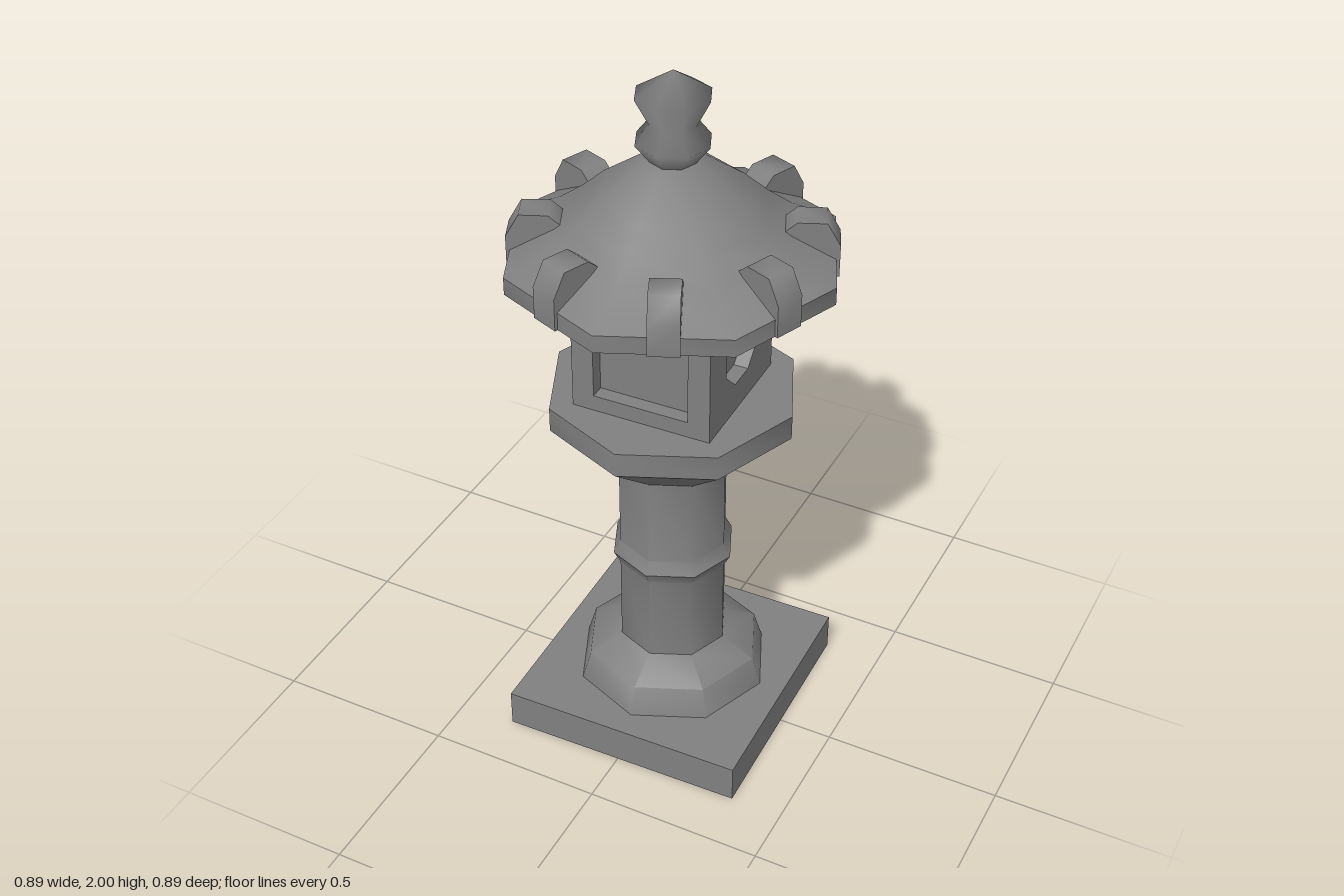
import * as THREE from 'three';
import { toCreasedNormals } from 'three/addons/utils/BufferGeometryUtils.js';

const stone = new THREE.MeshStandardMaterial({ color: 0x808080 });
const thinStone = new THREE.MeshStandardMaterial({ color: 0x808080, side: THREE.DoubleSide });

function addMesh(parent, name, geometry, material = stone) {
  const mesh = new THREE.Mesh(geometry, material);
  mesh.name = name;
  parent.add(mesh);
  return mesh;
}

// Eight-sided turned part from a [radius, height] profile, listed bottom to top
function turned(profile, crease = 0.8) {
  const points = profile.map(([r, y]) => new THREE.Vector2(r, y));
  return toCreasedNormals(new THREE.LatheGeometry(points, 8), crease);
}

// Wall panel centred on x, with a window opening cut through it
function wallPanel(width, bottom, top, opening, depth) {
  const w = width / 2;
  const shape = new THREE.Shape([
    new THREE.Vector2(-w, bottom), new THREE.Vector2(w, bottom),
    new THREE.Vector2(w, top), new THREE.Vector2(-w, top),
  ]);
  shape.holes.push(new THREE.Path(opening));
  return new THREE.ExtrudeGeometry(shape, { depth, bevelEnabled: false });
}

// Regular window outline with flat top and bottom
function windowOutline(sides, radius, y) {
  const points = [];
  for (let i = 0; i < sides; i++) {
    const a = ((i + 0.5) / sides) * Math.PI * 2;
    points.push(new THREE.Vector2(radius * Math.cos(a), y + radius * Math.sin(a)));
  }
  return points;
}

export function createModel() {
  const model = new THREE.Group();
  model.name = 'stoneLantern';
  const body = new THREE.Group();
  body.name = 'lanternBody';
  body.rotation.y = 0.021;
  model.add(body);

  // Square plinth, hollow underneath
  const plinth = new THREE.BoxGeometry(0.694, 0.11, 0.694);
  const index = Array.from(plinth.index.array);
  index.splice(18, 6);
  plinth.setIndex(index);
  plinth.clearGroups();
  addMesh(body, 'plinth', plinth, thinStone).position.y = 0.055;

  // Foot, set slightly into the plinth
  addMesh(body, 'foot', turned([
    [0, 0.104], [0.277, 0.104], [0.25, 0.195], [0.155, 0.245],
  ]));

  // Column with its ring, and flared platform
  addMesh(body, 'column', turned([
    [0.155, 0.24], [0.155, 0.51], [0.174, 0.547], [0.155, 0.585], [0.155, 0.86],
  ]));
  addMesh(body, 'platform', turned([
    [0, 0.85], [0.155, 0.85], [0.342, 1.01], [0.342, 1.08], [0, 1.08],
  ]));

  // Fire box: solid core behind four walls with recessed windows
  const fireBox = new THREE.Group();
  fireBox.name = 'fireBox';
  body.add(fireBox);
  const depth = 0.04, half = 0.196, bottom = 1.08, top = 1.456;
  const inner = 2 * (half - depth);
  addMesh(fireBox, 'fireBoxCore', new THREE.BoxGeometry(inner, top - bottom, inner))
    .position.y = (bottom + top) / 2;
  const square = wallPanel(2 * half, bottom, top, windowOutline(4, 0.19, 1.26), depth);
  const octagon = wallPanel(inner, bottom, top, windowOutline(8, 0.105, 1.26), depth);
  for (let i = 0; i < 4; i++) {
    const pivot = new THREE.Group();
    pivot.name = 'wall';
    pivot.rotation.y = (i * Math.PI) / 2;
    fireBox.add(pivot);
    addMesh(pivot, i % 2 ? 'octagonWindowWall' : 'squareWindowWall', i % 2 ? octagon : square)
      .position.z = half - depth;
  }

  // Domed roof with a thick rim
  addMesh(body, 'roof', turned([
    [0, 1.456], [0.445, 1.456], [0.445, 1.505], [0.32, 1.57], [0.255, 1.62],
    [0.19, 1.68], [0.09, 1.75], [0, 1.78],
  ]));

  // Curled tabs at the middle of each roof edge
  const tabShape = new THREE.Shape([
    [0.25, 1.456], [0.42, 1.456], [0.42, 1.545], [0.385, 1.608], [0.31, 1.608], [0.262, 1.565],
  ].map(([x, y]) => new THREE.Vector2(x, y)));
  const tab = new THREE.ExtrudeGeometry(tabShape, { depth: 0.08, bevelEnabled: false });
  tab.translate(0, 0, -0.04);
  const tabGeometry = toCreasedNormals(tab, 1.2);
  for (let i = 0; i < 8; i++) {
    addMesh(body, 'roofTab', tabGeometry).rotation.y = ((i + 0.5) * Math.PI) / 4;
  }

  // Finial: bulb below a pointed jewel, softly shaded
  addMesh(body, 'finial', turned([
    [0.055, 1.75], [0.1, 1.81], [0.062, 1.86], [0.1, 1.935], [0, 2],
  ], 1.7));

  return model;
}
